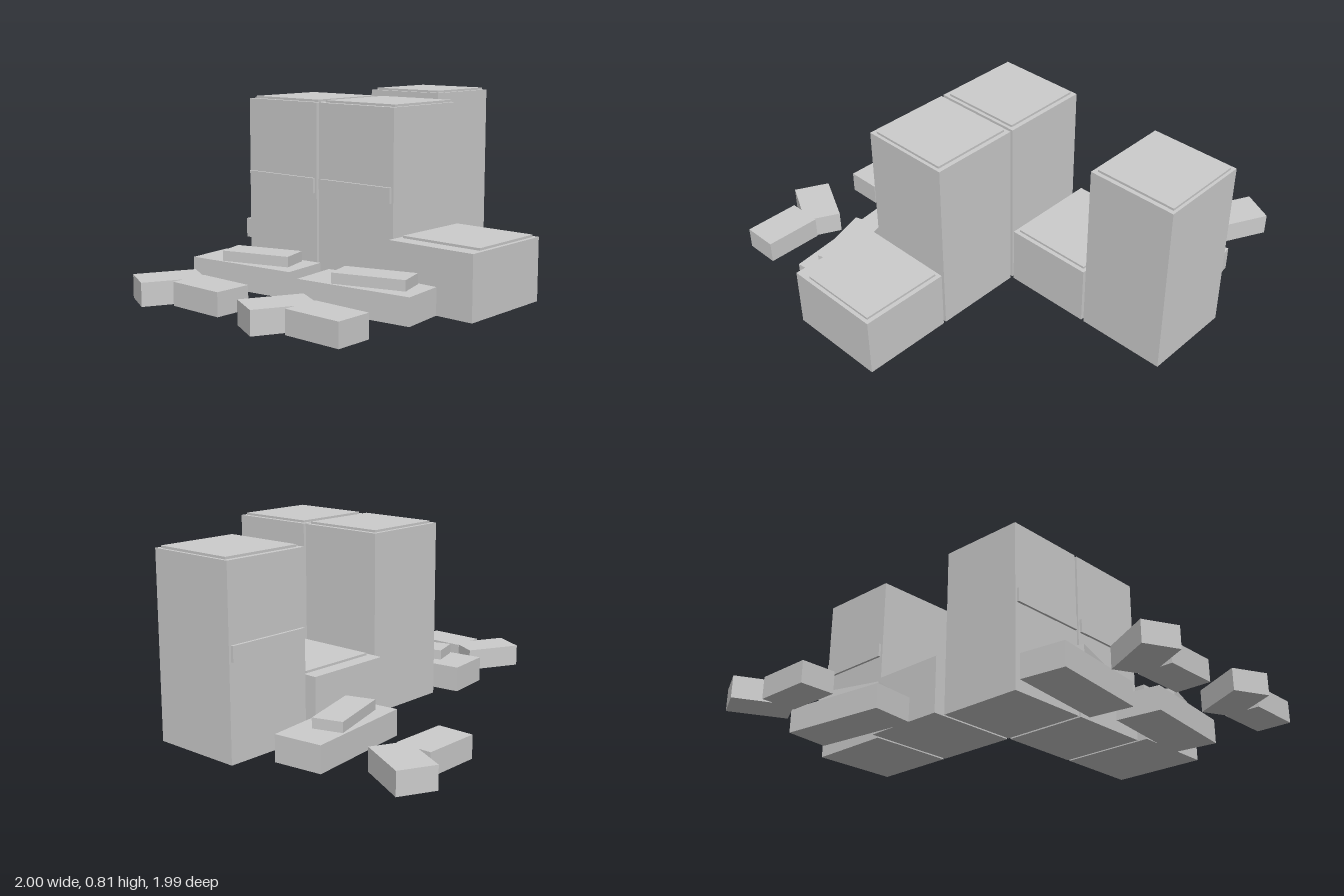
import * as THREE from 'three';

const grey = new THREE.MeshStandardMaterial({ color: 0xcccccc });
grey.name = 'light grey';

// Box spanning the given ranges
function block(name, x0, x1, y0, y1, z0, z1) {
  const mesh = new THREE.Mesh(new THREE.BoxGeometry(x1 - x0, y1 - y0, z1 - z0), grey);
  mesh.name = name;
  mesh.position.set((x0 + x1) / 2, (y0 + y1) / 2, (z0 + z1) / 2);
  return mesh;
}

// Box turned about y, standing on y0
function turnedBlock(name, w, h, d, x, y0, z, angle) {
  const mesh = block(name, -w / 2, w / 2, y0, y0 + h, -d / 2, d / 2);
  mesh.position.x = x;
  mesh.position.z = z;
  mesh.rotation.y = angle;
  return mesh;
}

// Cabinet body with a slightly raised top panel
function cabinet(name, h, [x0, x1, z0, z1], [px0, px1, pz0, pz1]) {
  const g = new THREE.Group();
  g.name = name;
  g.add(block('body', x0, x1, 0, h, z0, z1));
  g.add(block('topPanel', px0, px1, h, h + 0.01, pz0, pz1));
  return g;
}

// Long slab with a smaller slab askew on top
function stackedSlabs(x, z, turn) {
  const g = new THREE.Group();
  g.name = 'stackedSlabs';
  g.add(turnedBlock('lowerSlab', 0.528, 0.115, 0.22, 0, 0, 0, 0.122));
  g.add(turnedBlock('upperSlab', 0.315, 0.045, 0.134, 0.038, 0.115, 0, 0.305));
  g.position.set(x, 0, z);
  g.rotation.y = turn;
  return g;
}

// Two bars meeting at an angle
function bentBar(x, z, turn) {
  const g = new THREE.Group();
  g.name = 'bentBar';
  g.add(turnedBlock('straightBar', 0.264, 0.1, 0.165, 0, 0, 0, 0));
  g.add(turnedBlock('angledBar', 0.266, 0.1, 0.168, -0.227, 0, 0.026, 1.1));
  g.position.set(x, 0, z);
  g.rotation.y = turn;
  return g;
}

export function createModel() {
  const model = new THREE.Group();
  model.name = 'cabinetGroup';

  // Cabinets in an L-shaped run
  const tall = 0.8, low = 0.27;
  model.add(
    cabinet('frontLeftTallCabinet', tall, [0.165, 0.575, -0.16, 0.26], [0.183, 0.56, -0.14, 0.235]),
    cabinet('frontRightTallCabinet', tall, [-0.258, 0.152, -0.16, 0.26], [-0.24, 0.137, -0.14, 0.235]),
    cabinet('frontLowCabinet', low, [0.588, 1, -0.16, 0.303], [0.606, 0.983, -0.14, 0.235]),
    cabinet('sideLowCabinet', low, [-0.305, 0.156, -0.58, -0.172], [-0.24, 0.137, -0.565, -0.193]),
    cabinet('backTallCabinet', tall, [-0.262, 0.156, -1, -0.593], [-0.24, 0.137, -0.987, -0.613])
  );

  // Rails across the tall cabinets
  model.add(
    block('frontRightRail', -0.248, 0.142, 0.41, 0.475, 0.26, 0.272),
    block('frontLeftRail', 0.175, 0.565, 0.41, 0.475, 0.26, 0.272),
    block('sideRail', -0.274, -0.262, 0.41, 0.475, -0.99, -0.605)
  );

  // A slab stack and a bent bar before each tall cabinet
  const quarter = -Math.PI / 2;
  model.add(
    stackedSlabs(-0.053, 0.426, 0),
    stackedSlabs(0.579, 0.426, 0),
    stackedSlabs(-0.436, -0.588, quarter),
    bentBar(0.083, 0.812, 0),
    bentBar(0.716, 0.812, 0),
    bentBar(-0.822, -0.456, quarter)
  );

  return model;
}
